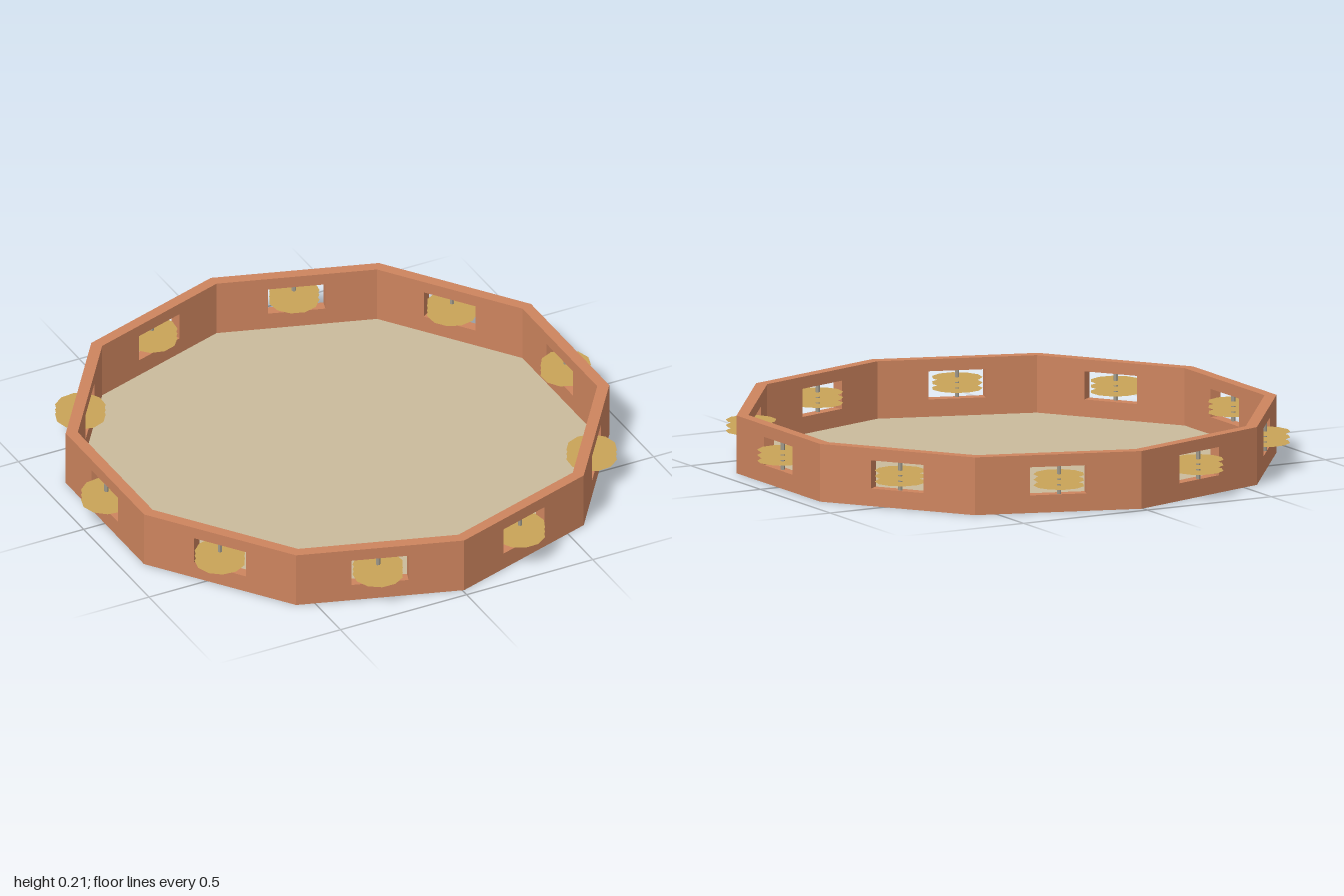
import * as THREE from 'three';

const SIDES = 10;
const HALF = Math.PI / SIDES;
const HEIGHT = 0.207;
const OUTER = 0.922; // centre to the outside of a flat wall
const INNER = 0.881;
const RIM_X = 0.006;

function material(name, color, extra = {}) {
  const m = new THREE.MeshStandardMaterial({ color, flatShading: true, ...extra });
  m.name = name;
  return m;
}

// One wall of the rim: a panel with a window, its ends mitred to meet its neighbours
function wallGeometry() {
  const w = OUTER * Math.tan(HALF);
  const shape = new THREE.Shape();
  shape.moveTo(-w, 0).lineTo(w, 0).lineTo(w, HEIGHT).lineTo(-w, HEIGHT).closePath();
  const slot = new THREE.Path();
  slot.moveTo(-0.102, 0.063).lineTo(-0.102, 0.164).lineTo(0.102, 0.164).lineTo(0.102, 0.063).closePath();
  shape.holes.push(slot);
  const geo = new THREE.ExtrudeGeometry(shape, { depth: OUTER - INNER, bevelEnabled: false });
  geo.translate(0, 0, INNER);
  const p = geo.attributes.position;
  for (let i = 0; i < p.count; i++) {
    if (Math.abs(p.getX(i)) > w - 0.001) {
      p.setX(i, Math.sign(p.getX(i)) * p.getZ(i) * Math.tan(HALF));
    }
  }
  geo.computeVertexNormals();
  return geo;
}

export function createModel() {
  const wood = material('terracotta wood', 0xcd845e);
  const hide = material('beige skin', 0xcabb9c, { side: THREE.DoubleSide });
  const brass = material('brass', 0xc9a357, { side: THREE.DoubleSide });
  const steel = material('grey pin', 0xa09a8c);

  const model = new THREE.Group();
  model.name = 'tambourine';

  // Ten-sided rim
  const rim = new THREE.Group();
  rim.name = 'rim';
  rim.position.x = RIM_X;
  const wall = wallGeometry();
  for (let i = 0; i < SIDES; i++) {
    const mesh = new THREE.Mesh(wall, wood);
    mesh.name = 'rimWall';
    mesh.rotation.y = Math.PI / 2 + i * 2 * HALF;
    rim.add(mesh);
  }
  model.add(rim);

  // Skin across the bottom, reaching the outer edge
  const skinGeo = new THREE.CircleGeometry(OUTER / Math.cos(HALF), SIDES, Math.PI / 2);
  skinGeo.rotateX(-Math.PI / 2);
  const skin = new THREE.Mesh(skinGeo, hide);
  skin.name = 'skin';
  skin.position.set(RIM_X, 0.001, 0);
  model.add(skin);

  // Jingles: three flat discs on a pin in every window
  const discGeo = new THREE.CircleGeometry(0.09, 11);
  discGeo.rotateX(-Math.PI / 2);
  const pinGeo = new THREE.CylinderGeometry(0.008, 0.008, 0.101, 6);
  for (let i = 0; i < SIDES; i++) {
    const a = i * 2 * HALF;
    const jingle = new THREE.Group();
    jingle.name = 'jingle';
    jingle.position.set(0.91 * Math.cos(a), 0.1135, -0.91 * Math.sin(a));
    jingle.rotation.y = a;
    for (const y of [-0.02, 0, 0.02]) {
      const disc = new THREE.Mesh(discGeo, brass);
      disc.name = 'jingleDisc';
      disc.position.y = y;
      jingle.add(disc);
    }
    const pin = new THREE.Mesh(pinGeo, steel);
    pin.name = 'jinglePin';
    jingle.add(pin);
    model.add(jingle);
  }
  return model;
}
